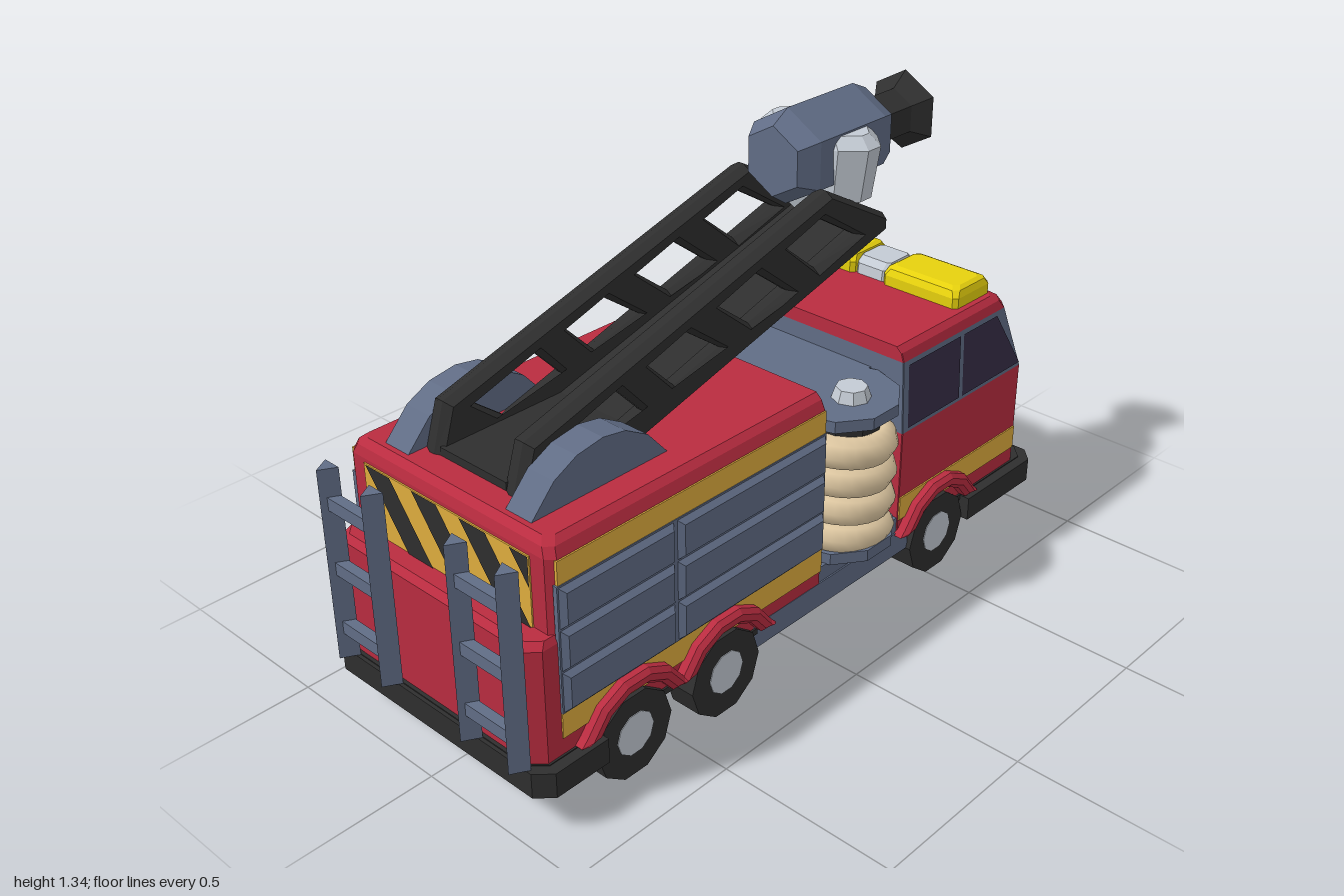
import * as THREE from 'three';

const mat = (name, color, side = THREE.FrontSide) => {
  const m = new THREE.MeshStandardMaterial({ color, side });
  m.name = name;
  return m;
};

export function createModel() {
  const red = mat('red paint', 0xba2c40), gold = mat('gold stripe', 0xe0ad3e);
  const blue = mat('blue grey metal', 0x616d86), black = mat('black', 0x2f2f2f);
  const glass = mat('dark glass', 0x372e48, THREE.DoubleSide), grey = mat('light grey', 0xc4cbd4);
  const yellow = mat('beacon yellow', 0xeed80e), tan = mat('hose tan', 0xe4cda6);

  const model = new THREE.Group();
  model.name = 'fireTruck';
  const truck = new THREE.Group();
  truck.name = 'truck';
  truck.position.x = -0.02;
  model.add(truck);

  const add = (name, geo, m, x = 0, y = 0, z = 0) => {
    const mesh = new THREE.Mesh(geo, m);
    mesh.name = name;
    mesh.position.set(x, y, z);
    truck.add(mesh);
    return mesh;
  };
  const flat = (g) => {
    const f = g.index ? g.toNonIndexed() : g;
    f.computeVertexNormals();
    return f;
  };
  // box given by its limits
  const box = (name, m, x0, x1, y0, y1, z0, z1) =>
    add(name, new THREE.BoxGeometry(x1 - x0, y1 - y0, z1 - z0), m, (x0 + x1) / 2, (y0 + y1) / 2, (z0 + z1) / 2);
  const cyl = (name, m, rTop, rBottom, h, n, x, y, z) =>
    add(name, flat(new THREE.CylinderGeometry(rTop, rBottom, h, n)), m, x, y, z);
  // stacked chamfered rectangles: rings of [y, halfWidth, zMin, zMax, chamfer at zMin, chamfer at zMax]
  const loft = (name, m, rings, x = 0) => {
    const pos = [], idx = [], last = (rings.length - 1) * 8;
    for (const [y, w, a, b, c, d = c] of rings)
      for (const [px, pz] of [[w, b - d], [w, a + c], [w - c, a], [c - w, a], [-w, a + c], [-w, b - d], [d - w, b], [w - d, b]])
        pos.push(px, y, pz);
    for (let r = 0; r < last; r += 8)
      for (let i = 0; i < 8; i++) {
        const j = (i + 1) % 8;
        idx.push(r + i, r + j, r + 8 + j, r + i, r + 8 + j, r + 8 + i);
      }
    for (let i = 1; i < 7; i++) idx.push(last, last + i, last + i + 1, 0, i + 1, i);
    const g = new THREE.BufferGeometry();
    g.setAttribute('position', new THREE.Float32BufferAttribute(pos, 3));
    g.setIndex(idx);
    return add(name, flat(g), m, x);
  };
  const shapeOf = (pts) => new THREE.Shape(pts.map(([a, b]) => new THREE.Vector2(a, b)));
  // (z, y) profile extruded across the truck, centred on x; width includes the bevel
  const across = (name, m, shape, x, width, bevel = 0, inset = 0) => {
    const depth = width - 2 * bevel;
    const g = new THREE.ExtrudeGeometry(shape, {
      depth, bevelEnabled: bevel > 0, bevelThickness: bevel, bevelSize: inset, bevelOffset: -inset, bevelSegments: 1,
    });
    g.rotateY(-Math.PI / 2).translate(depth / 2, 0, 0);
    return add(name, flat(g), m, x);
  };
  const quad = (name, m, p) => {
    const g = new THREE.BufferGeometry().setFromPoints(p.map((v) => new THREE.Vector3(...v)));
    g.setIndex([0, 1, 2, 0, 2, 3]);
    return add(name, flat(g), m);
  };
  // U-shaped bumper rim, hollow below; end is the outer z, inner the open z
  const bumper = (name, end, inner) => {
    const s = Math.sign(end), w = 0.39, c = 0.04, t = 0.045;
    const half = [[w, inner], [w, end - s * c], [w - c, end]];
    const inside = [[w - t - 0.02, end - s * t], [w - t, end - s * (t + 0.02)], [w - t, inner]];
    const flip = (pts) => pts.map(([x, z]) => [-x, z]).reverse();
    const g = new THREE.ExtrudeGeometry(shapeOf([...half, ...flip(half), ...flip(inside), ...inside].map(([x, z]) => [x, -z])),
      { depth: 0.07, bevelEnabled: false });
    add(name, flat(g.rotateX(-Math.PI / 2)), black, 0, 0.11, 0);
  };

  // chassis and bumpers
  bumper('rearBumper', 0.965, 0.76);
  bumper('frontBumper', -1, -0.66);
  loft('rearChassis', black, [[0.165, 0.36, 0.2, 0.955, 0.01, 0.04], [0.183, 0.36, 0.2, 0.955, 0.01, 0.04]]);
  loft('frontChassis', black, [[0.165, 0.36, -0.99, -0.4, 0.04, 0.01], [0.183, 0.36, -0.99, -0.4, 0.04, 0.01]]);
  box('floor', red, -0.35, 0.35, 0.168, 0.198, -0.42, 0.22);
  for (const s of [-1, 1]) box('sideBeam', blue, s * 0.34 - 0.016, s * 0.34 + 0.016, 0.118, 0.19, -0.42, 0.22);

  // wheels and arches
  for (const z of [0.655, 0.337, -0.537])
    for (const s of [-1, 1]) {
      cyl('wheel', black, 0.122, 0.122, 0.09, 10, s * 0.325, 0.118, z).rotation.z = Math.PI / 2;
      cyl('hub', grey, 0.06, 0.06, 0.094, 10, s * 0.325, 0.122, z).rotation.z = Math.PI / 2;
      const arc = (r, k) => [z + r * Math.cos((k * Math.PI) / 7), 0.125 + Math.max(0.06, r * Math.sin((k * Math.PI) / 7))];
      const ks = [0, 1, 2, 3, 4, 5, 6, 7];
      const pts = [...ks.map((k) => arc(0.178, k)), ...ks.map((k) => arc(0.135, 7 - k))];
      across('wheelArch', red, shapeOf(pts), s * 0.355, 0.07, 0.012, 0.012);
    }

  // rear body
  loft('rearBodyLower', red, [[0.18, 0.355, -0.04, 0.945, 0.002, 0.03], [0.495, 0.355, -0.04, 0.945, 0.002, 0.03], [0.512, 0.345, -0.04, 0.93, 0.002, 0.03]]);
  loft('rearBodyUpper', red, [[0.5, 0.355, -0.04, 0.88, 0.002, 0.02], [0.71, 0.355, -0.04, 0.88, 0.002, 0.02],
    [0.735, 0.343, -0.04, 0.873, 0.002, 0.02], [0.75, 0.325, -0.04, 0.855, 0.002, 0.02]]);
  for (const s of [-1, 1]) {
    const x = s * 0.355;
    box('upperStripe', gold, x - 0.004, x + 0.004, 0.645, 0.708, -0.04, 0.865);
    box('lowerStripe', gold, x - 0.004, x + 0.004, 0.23, 0.3, -0.04, 0.87);
    box('shutterFrame', blue, x - 0.006, x + 0.006, 0.3, 0.645, -0.04, 0.87);
    for (const [z0, z1] of [[-0.037, 0.497], [0.506, 0.867]])
      for (let i = 0; i < 3; i++) {
        const y = 0.302 + i * 0.114;
        across('shutter', blue, shapeOf([[z0, y], [z1, y], [z1, y + 0.112], [z0, y + 0.112]]), s * 0.35, 0.05, 0.016, 0.014);
      }
    // turntable cheeks beside the ladder foot
    across('ladderCheek', blue, shapeOf([[0.85, 0.74], [0.77, 0.825], [0.7, 0.86], [0.62, 0.872], [0.55, 0.86], [0.48, 0.82], [0.41, 0.74]]), s * 0.213, 0.085);
  }

  // hazard panel on the back
  box('hazardPanel', gold, -0.29, 0.29, 0.51, 0.7, 0.876, 0.884);
  const bands = [-0.28, -0.11, 0.06].map((a) => [[a, 0.7], [a + 0.14, 0.51], [a + 0.23, 0.51], [a + 0.09, 0.7]]);
  bands.push([[-0.29, 0.51], [-0.22, 0.51], [-0.29, 0.605]], [[0.23, 0.7], [0.29, 0.62], [0.29, 0.7]]);
  for (const b of bands) add('hazardBand', new THREE.ShapeGeometry(shapeOf(b)), black, 0, 0, 0.887);

  // climbing rails on the back
  for (const s of [-1, 1]) {
    for (const x of [0.147, 0.314]) cyl('climbingRail', blue, 0.03, 0.03, 0.54, 3, s * x, 0.45, 0.97);
    for (const y of [0.27, 0.442, 0.625]) box('climbingRung', blue, s * 0.23 - 0.075, s * 0.23 + 0.075, y - 0.018, y + 0.018, 0.957, 0.985);
  }

  // middle section with hose reel
  box('pumpBox', blue, -0.29, 0.24, 0.18, 0.662, -0.39, -0.03);
  box('reelFoot', blue, 0.2, 0.352, 0.19, 0.236, -0.375, -0.035);
  const rx = 0.266, rz = -0.205;
  cyl('reelTop', blue, 0.163, 0.163, 0.033, 10, rx, 0.646, rz);
  cyl('reelBottom', blue, 0.163, 0.163, 0.033, 10, rx, 0.25, rz);
  cyl('reelCore', black, 0.115, 0.115, 0.38, 10, rx, 0.45, rz);
  cyl('reelKnob', grey, 0.042, 0.053, 0.034, 8, rx + 0.04, 0.678, rz);
  class Coil extends THREE.Curve {
    getPoint(t, v = new THREE.Vector3()) {
      const a = t * Math.PI * 7.8 - 0.6;
      return v.set(rx + 0.115 * Math.cos(a), 0.275 + 0.33 * t, rz + 0.115 * Math.sin(a));
    }
  }
  add('hose', new THREE.TubeGeometry(new Coil(), 110, 0.046, 8), tan);

  // cab
  loft('cabLower', red, [[0.18, 0.355, -0.945, -0.37, 0.028, 0.002], [0.5, 0.355, -0.945, -0.37, 0.028, 0.002]]);
  loft('windowFrame', blue, [[0.5, 0.355, -0.945, -0.37, 0.028, 0.002], [0.71, 0.346, -0.855, -0.37, 0.028, 0.002]]);
  loft('cabRoof', red, [[0.71, 0.346, -0.855, -0.37, 0.028, 0.002], [0.735, 0.338, -0.838, -0.37, 0.028, 0.002], [0.75, 0.322, -0.815, -0.37, 0.028, 0.002]]);
  const lo = 0.512, hi = 0.698;
  const sideX = (y) => 0.358 - (y - 0.5) * 0.043, frontZ = (y) => -0.949 + (y - 0.5) * 0.428;
  for (const s of [-1, 1]) {
    const side = ([z, y]) => [s * sideX(y), y, z];
    quad('frontSideWindow', glass, [[-0.635, lo], [-0.911, lo], [-0.79, hi], [-0.635, hi]].map(side));
    quad('rearSideWindow', glass, [[-0.39, lo], [-0.62, lo], [-0.62, hi], [-0.39, hi]].map(side));
    quad('windscreen', glass, [[0.02, lo], [0.312, lo], [0.3, hi], [0.02, hi]].map(([x, y]) => [s * x, y, frontZ(y)]));
    box('cabStripe', gold, s * 0.355 - 0.004, s * 0.355 + 0.004, 0.23, 0.3, -0.915, -0.372);
    for (const y of [0.24, 0.32])
      loft('headlight', gold, [[y, 0.04, -0.958, -0.93, 0.006], [y + 0.01, 0.046, -0.967, -0.93, 0.008],
        [y + 0.066, 0.046, -0.967, -0.93, 0.008], [y + 0.076, 0.04, -0.958, -0.93, 0.006]], s * 0.262);
    loft('beacon', yellow, [[0.745, 0.127, -0.812, -0.65, 0.012], [0.78, 0.127, -0.812, -0.65, 0.012],
      [0.798, 0.12, -0.802, -0.66, 0.015], [0.806, 0.108, -0.785, -0.677, 0.015]], s * 0.178);
  }
  for (const y of [0.245, 0.31, 0.375]) box('grilleBar', glass, -0.19, 0.19, y, y + 0.05, -0.949, -0.942);
  loft('beaconCentre', grey, [[0.745, 0.052, -0.805, -0.66, 0.01], [0.78, 0.052, -0.8, -0.665, 0.01], [0.798, 0.05, -0.78, -0.685, 0.01]]);

  // raised ladder: two trusses with slanted openings and a plate between them
  const topY = (z) => 1.09 - 0.283 * z, lowY = (z) => 0.853 - 0.266 * z;
  const trussShape = shapeOf([[0.8, 0.74], [0.76, topY(0.76)], [-0.27, topY(-0.27)], [-0.51, 1.035], [-0.51, lowY(-0.51)], [0.42, 0.74]]);
  // openings: upper rear, upper front, lower front, lower rear z
  for (const [a, b, c, d] of [[0.68, 0.48, 0.39, 0.57], [0.38, 0.25, 0.125, 0.285], [0.14, 0, -0.125, 0.02], [-0.11, -0.24, -0.39, -0.23]])
    trussShape.holes.push(new THREE.Path([[a, topY(a) - 0.055], [b, topY(b) - 0.055], [c, lowY(c) + 0.055], [d, lowY(d) + 0.055]]
      .map(([z, y]) => new THREE.Vector2(z, y))));
  for (const s of [-1, 1]) across('ladderTruss', black, trussShape, s * 0.139, 0.066, 0.025, 0.014);
  across('ladderPlate', black, shapeOf([[0.79, 0.74], [0.79, 0.772], [0.42, 0.772], [-0.5, 1.025], [-0.5, 0.995], [0.42, 0.74]]), 0, 0.23);

  // water cannon at the ladder tip
  loft('cannonCradle', grey, [[1.01, 0.02, -0.46, -0.38, 0.015], [1.1, 0.16, -0.492, -0.348, 0.05],
    [1.245, 0.182, -0.5, -0.34, 0.055], [1.275, 0.15, -0.485, -0.355, 0.05]]);
  // each section: [name, material, rear radius, front radius, z rear, z front]
  for (const [name, m, r0, r1, z0, z1] of [
    ['cannonBack', blue, 0.095, 0.13, -0.235, -0.29], ['cannonBody', blue, 0.13, 0.13, -0.29, -0.55],
    ['cannonFront', blue, 0.13, 0.105, -0.55, -0.605], ['nozzle', black, 0.072, 0.072, -0.6, -0.73], ['nozzleFlare', black, 0.072, 0.112, -0.73, -0.78],
  ]) cyl(name, m, r1, r0, z0 - z1, 6, 0, 1.215, (z0 + z1) / 2).rotation.x = -Math.PI / 2;

  return model;
}
